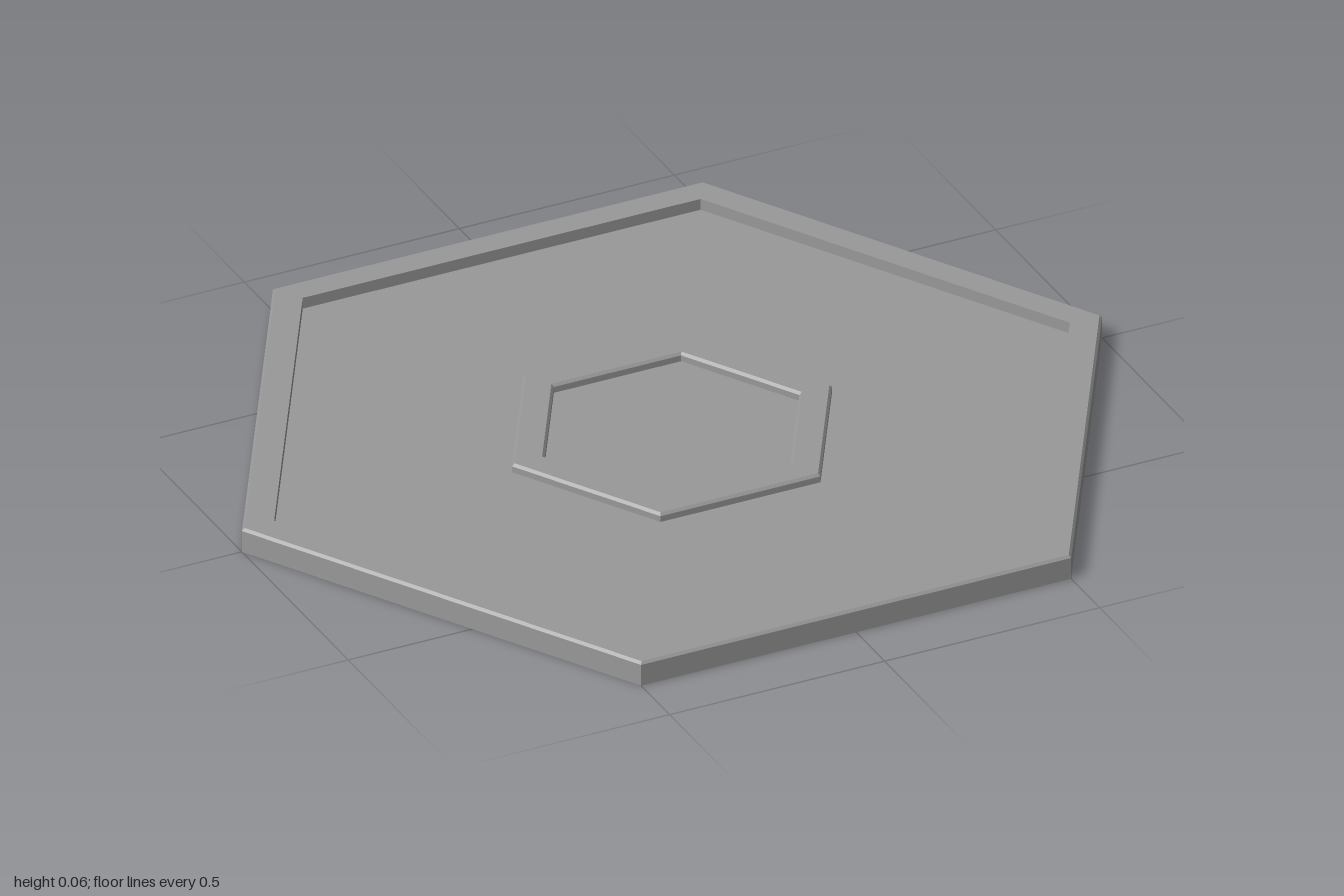
import * as THREE from 'three';

const SIDES = 6;
const FLOOR = 0.03;

// Sweeps a radius/height profile around the hexagon, with corners on the x axis
function hexSweep(name, profile, material) {
  const points = profile.map(([r, y]) => new THREE.Vector2(r, y));
  const geometry = new THREE.LatheGeometry(points, SIDES, Math.PI / 2).toNonIndexed();
  geometry.computeVertexNormals();
  const mesh = new THREE.Mesh(geometry, material);
  mesh.name = name;
  return mesh;
}

export function createModel() {
  const grey = new THREE.MeshStandardMaterial({ color: 0x999999, flatShading: true });
  grey.name = 'grey';

  const model = new THREE.Group();
  model.name = 'hexTile';

  // Solid base with a raised, lightly chamfered rim around a sunken floor
  model.add(hexSweep('tray', [
    [0, 0], [1, 0], [1, 0.05], [0.994, 0.056],
    [0.925, 0.056], [0.925, FLOOR], [0, FLOOR],
  ], grey));

  // Raised centre ring with slightly sloping walls
  model.add(hexSweep('centreRing', [
    [0.372, FLOOR], [0.372, 0.044], [0.366, 0.05],
    [0.302, 0.05], [0.296, 0.044], [0.296, FLOOR],
  ], grey));

  return model;
}
